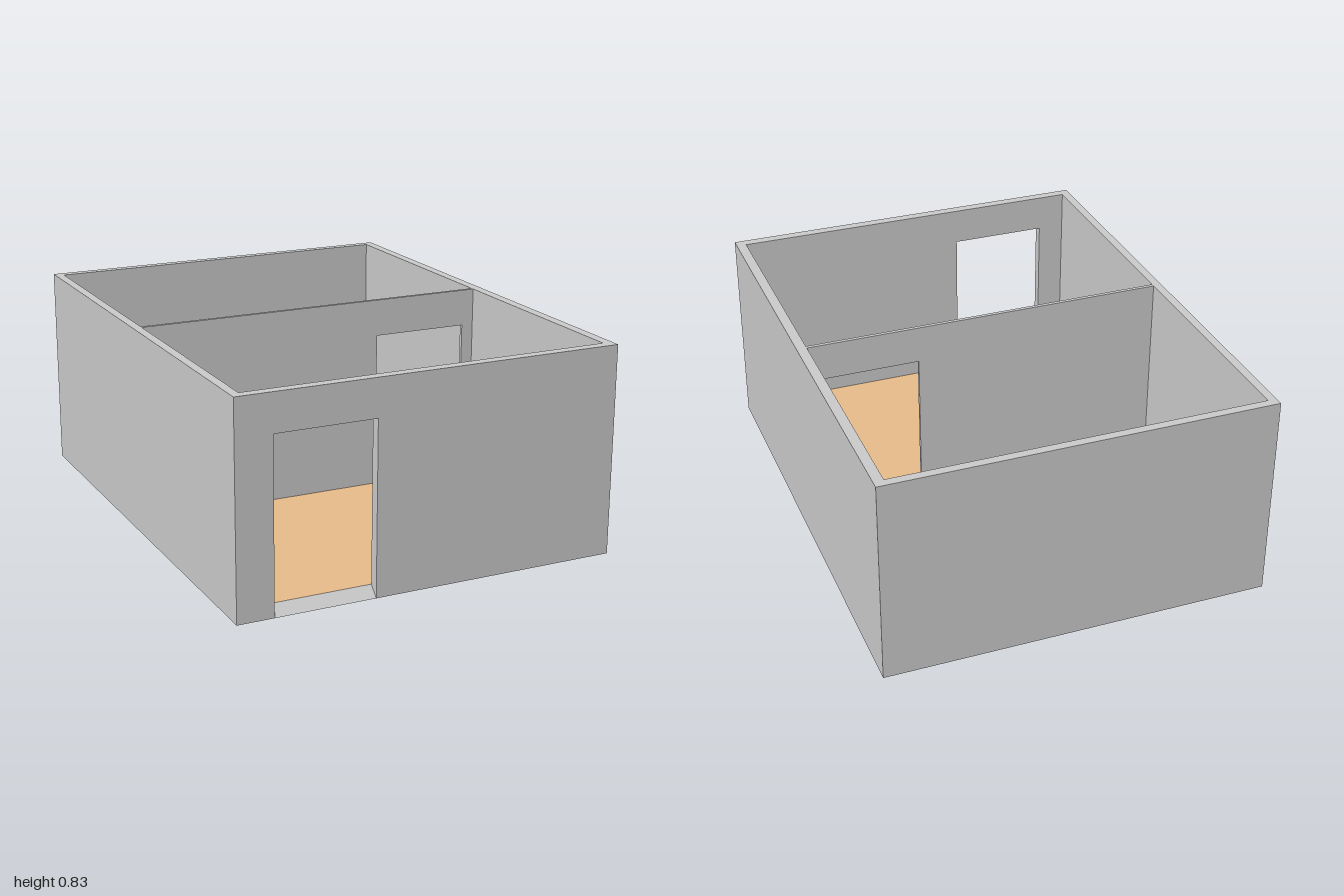
import * as THREE from 'three';

const HEIGHT = 0.83, FLOOR = 0.04, DOOR_TOP = 0.68;
const OUT_X = 0.77, LEFT = 0.73, RIGHT = -0.735, BACK = -0.965, FRONT = 0.96;

const grey = new THREE.MeshStandardMaterial({ color: 0xcccccc, flatShading: true });
const tan = new THREE.MeshStandardMaterial({ color: 0xe8bd8a, flatShading: true });

export function createModel() {
  const model = new THREE.Group();

  const add = (name, geometry, material = grey) => {
    const mesh = new THREE.Mesh(geometry, material);
    mesh.name = name;
    model.add(mesh);
  };

  // Box given by its lower and upper limits on each axis
  const box = (name, [x0, x1], [y0, y1], [z0, z1], material) => {
    const geometry = new THREE.BoxGeometry(x1 - x0, y1 - y0, z1 - z0);
    geometry.translate((x0 + x1) / 2, (y0 + y1) / 2, (z0 + z1) / 2);
    add(name, geometry, material);
  };

  // Wall across the house with a doorway open at the bottom
  const doorWall = (name, [x0, x1], y0, [z0, z1], [d0, d1]) => {
    const outline = [
      [x0, y0], [d0, y0], [d0, DOOR_TOP], [d1, DOOR_TOP],
      [d1, y0], [x1, y0], [x1, HEIGHT], [x0, HEIGHT],
    ].map(([x, y]) => new THREE.Vector2(x, y));
    const geometry = new THREE.ExtrudeGeometry(new THREE.Shape(outline), {
      depth: z1 - z0, bevelEnabled: false,
    });
    geometry.translate(0, 0, z0);
    add(name, geometry);
  };

  // Outer walls
  box('leftWall', [LEFT, OUT_X], [0, HEIGHT], [-1, 1]);
  box('rightWall', [-OUT_X, RIGHT], [0, HEIGHT], [-1, 1]);
  box('backWall', [RIGHT, LEFT], [0, HEIGHT], [-1, BACK]);
  doorWall('frontWall', [RIGHT, LEFT], 0, [FRONT, 1], [-0.625, -0.225]);

  // Thin wall between the two rooms
  doorWall('partitionWall', [RIGHT, LEFT], FLOOR, [0, 0.015], [0.28, 0.68]);

  // Base slab with the floor on top
  box('foundation', [RIGHT, LEFT], [0, 0.03], [BACK, FRONT]);
  box('floor', [RIGHT, LEFT], [0.03, FLOOR], [BACK, FRONT], tan);

  // Sloping threshold: triangular profile (z, y) swept across the front doorway
  const profile = new THREE.Shape([
    new THREE.Vector2(-1, 0), new THREE.Vector2(-FRONT, 0), new THREE.Vector2(-FRONT, FLOOR),
  ]);
  const ramp = new THREE.ExtrudeGeometry(profile, { depth: 0.4, bevelEnabled: false });
  ramp.rotateY(Math.PI / 2);
  ramp.translate(-0.625, 0, 0);
  add('doorRamp', ramp);

  return model;
}
